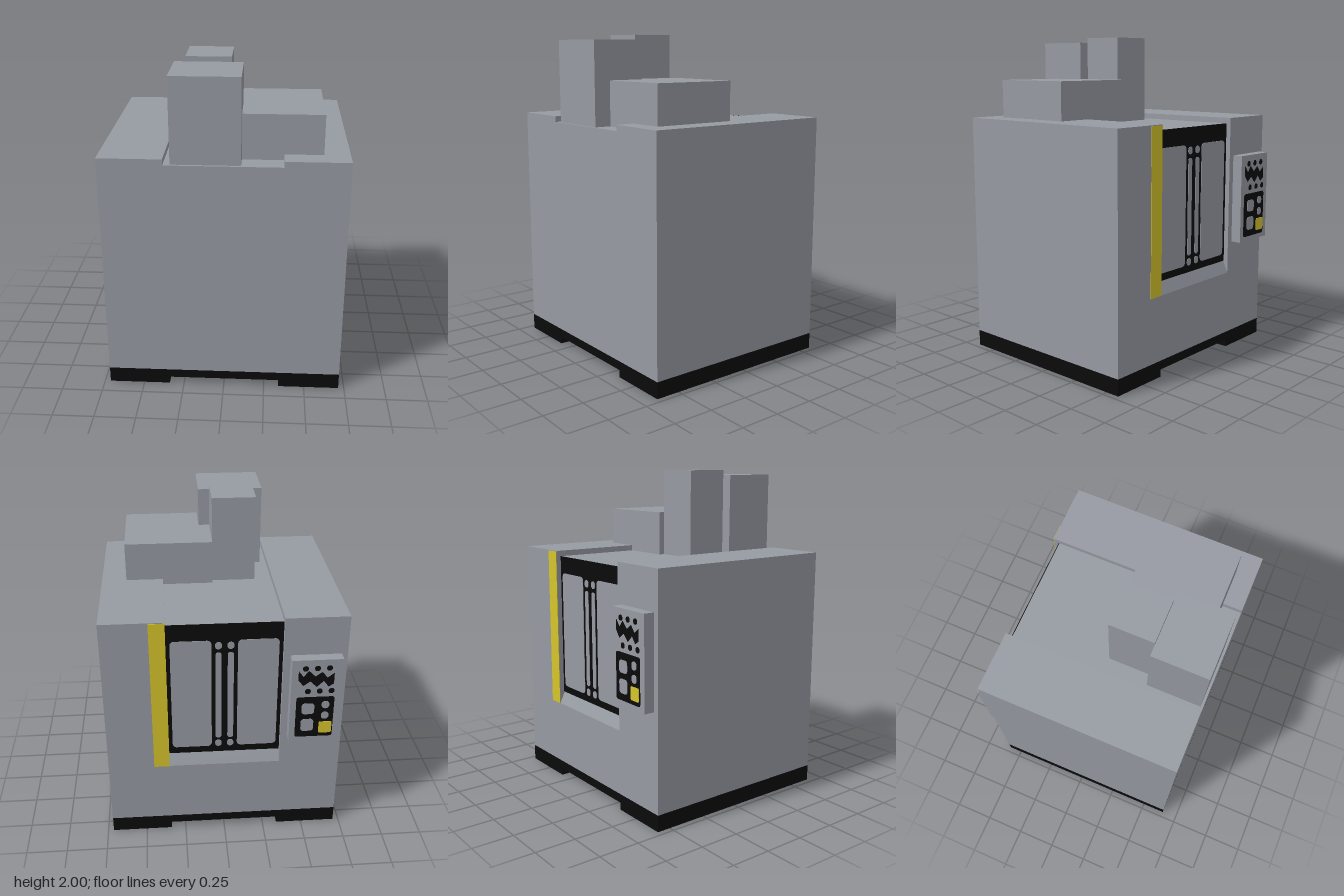
import * as THREE from 'three';

const material = (name, color) => {
  const m = new THREE.MeshStandardMaterial({ color });
  m.name = name;
  return m;
};

export function createModel() {
  const grey = material('machine grey', 0x969aa2);
  const black = material('black', 0x0a0a0a);
  const yellow = material('warning yellow', 0xd6c42a);
  const model = new THREE.Group();
  model.name = 'millingMachine';

  const add = (name, geometry, mat) => {
    const mesh = new THREE.Mesh(geometry, mat);
    mesh.name = name;
    model.add(mesh);
    return mesh;
  };
  // Box given by its minimum and maximum corners
  const box = (name, mat, [x0, y0, z0], [x1, y1, z1]) =>
    add(name, new THREE.BoxGeometry(x1 - x0, y1 - y0, z1 - z0), mat)
      .position.set((x0 + x1) / 2, (y0 + y1) / 2, (z0 + z1) / 2);
  // Outline in x and y, extruded from z0 to z1
  const extrude = (name, mat, shape, z0, z1) =>
    add(name, new THREE.ExtrudeGeometry(shape, { depth: z1 - z0, bevelEnabled: false, curveSegments: 6 }), mat)
      .position.z = z0;
  const polygon = (points) => new THREE.Shape(points.map(([x, y]) => new THREE.Vector2(x, y)));
  // Rectangle with rounded corners, centred on x, y
  const rounded = (x, y, w, h, r) => {
    const s = new THREE.Shape();
    const a = w / 2 - r, b = h / 2 - r;
    s.absarc(x + a, y + b, r, 0, Math.PI / 2);
    s.absarc(x - a, y + b, r, Math.PI / 2, Math.PI);
    s.absarc(x - a, y - b, r, Math.PI, Math.PI * 1.5);
    s.absarc(x + a, y - b, r, Math.PI * 1.5, Math.PI * 2);
    return s;
  };

  const W = 0.715, C = 0.34, BACK = -0.585, DOOR = -0.55, FRONT = 0.65;

  // Base with a channel underneath
  extrude('base', black, polygon([
    [-W, 0], [-C, 0], [-C, 0.045], [C, 0.045], [C, 0], [W, 0], [W, 0.1], [-W, 0.1],
  ]), BACK, FRONT);

  // Cabinet with a shallow channel along its top
  extrude('cabinet', grey, polygon([
    [-W, 0.1], [W, 0.1], [W, 1.5], [C, 1.5], [C, 1.465], [-C, 1.465], [-C, 1.5], [-W, 1.5],
  ]), DOOR, FRONT);

  // Door frame, open at the top
  extrude('doorFrame', grey, polygon([
    [-W, 0.1], [W, 0.1], [W, 1.5], [C, 1.5], [C, 0.5], [-C, 0.5], [-C, 1.5], [-W, 1.5],
  ]), BACK, DOOR);

  // Sloping sill: a wedge whose profile lies in z and y
  const sill = new THREE.ExtrudeGeometry(
    polygon([[-BACK, 0.5], [-DOOR, 0.575], [-DOOR, 0.5]]), { depth: 2 * C, bevelEnabled: false });
  sill.rotateY(Math.PI / 2).translate(-C, 0, 0);
  add('doorSill', sill, grey);

  // Sliding doors: black sheet with raised windows and handle strips
  box('doorSheet', black, [-C, 0.575, DOOR - 0.005], [C, 1.465, DOOR]);
  for (const s of [-1, 1]) {
    const plate = (name, shape) => extrude(name, grey, shape, DOOR - 0.008, DOOR - 0.005);
    plate('doorWindow', rounded(s * 0.197, 0.99, 0.24, 0.74, 0.025));
    plate('doorHandle', rounded(s * 0.036, 0.98, 0.036, 0.60, 0.016));
    for (const y of [0.64, 1.325]) plate('handleBolt', rounded(s * 0.036, y, 0.04, 0.046, 0.019));
  }
  box('warningStripe', yellow, [C, 0.5, BACK - 0.003], [0.435, 1.495, BACK]);

  // Control panel
  const P = -0.65;
  box('controlPanel', grey, [-0.68, 0.70, P], [-0.38, 1.26, BACK]);
  const face = (name, mat, shape, layer = 0) =>
    extrude(name, mat, shape, P - 0.003 * (layer + 1), P - 0.003 * layer);
  face('keypad', black, rounded(-0.528, 0.87, 0.226, 0.28, 0.015));
  face('largeKey', grey, rounded(-0.486, 0.93, 0.076, 0.075, 0.02), 1);
  face('largeKey', grey, rounded(-0.486, 0.815, 0.076, 0.085, 0.02), 1);
  for (const y of [0.955, 0.88]) face('smallKey', grey, rounded(-0.59, y, 0.046, 0.05, 0.022), 1);
  face('stopKey', yellow, rounded(-0.596, 0.795, 0.078, 0.08, 0.01), 1);
  // Zigzag display marking with dots above and below
  face('displayMark', black, polygon([
    [-0.63, 1.17], [-0.63, 1.10], [-0.60, 1.08], [-0.57, 1.12], [-0.53, 1.08], [-0.49, 1.12],
    [-0.45, 1.09], [-0.42, 1.13], [-0.42, 1.19], [-0.45, 1.15], [-0.48, 1.19], [-0.52, 1.15],
    [-0.56, 1.18], [-0.59, 1.14],
  ]));
  for (const x of [-0.6, -0.53, -0.46]) {
    face('displayDot', black, rounded(x, 1.205, 0.034, 0.034, 0.016));
    face('displayDot', black, rounded(x - 0.02, 1.05, 0.034, 0.034, 0.016));
  }

  // Housings on the roof
  box('spindleHousing', grey, [-0.30, 1.46, 0.30], [0.10, 1.97, 0.635]);
  box('motorHousing', grey, [-0.235, 1.46, 0.035], [0.032, 2, 0.30]);
  box('toolChanger', grey, [0.032, 1.46, 0], [0.565, 1.735, 0.53]);

  return model;
}
